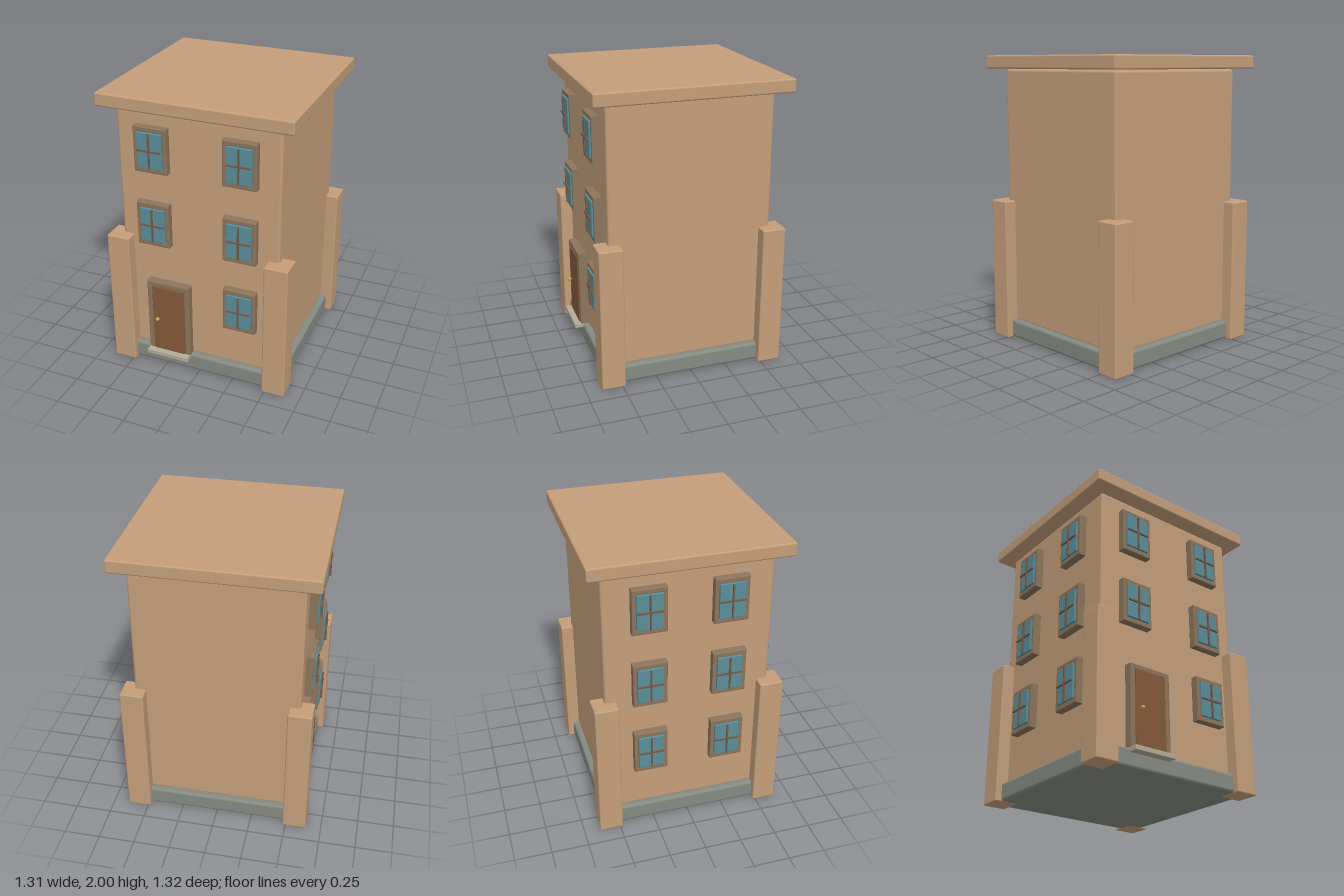
import * as THREE from 'three';
import { RoundedBoxGeometry } from 'three/addons/geometries/RoundedBoxGeometry.js';

const material = (color) => new THREE.MeshStandardMaterial({ color });

export function createModel() {
  const model = new THREE.Group();
  model.name = 'townHouse';

  const wall = material(0xc49e7a);
  const stone = material(0x858a82);
  const trim = material(0x8c755c);
  const glass = material(0x5a8e9a);
  const wood = material(0x825a3a);
  const bar = material(0x7a5a44);
  const stepStone = material(0xb4ab98);
  const brass = material(0xc9a04e);

  const add = (parent, name, geometry, mat, x = 0, y = 0, z = 0) => {
    const mesh = new THREE.Mesh(geometry, mat);
    mesh.name = name;
    mesh.position.set(x, y, z);
    parent.add(mesh);
    return mesh;
  };
  const block = (w, h, d, r) => new RoundedBoxGeometry(w, h, d, 2, r);

  // Outline of a rectangle, used for trims and their openings
  const rectangle = (target, x0, y0, x1, y1) => {
    target.moveTo(x0, y0).lineTo(x1, y0).lineTo(x1, y1).lineTo(x0, y1).closePath();
    return target;
  };
  const extrudeTrim = (shape, depth) => {
    const b = 0.006;
    return new THREE.ExtrudeGeometry(shape, {
      depth: depth - 2 * b, bevelEnabled: true, bevelThickness: b,
      bevelSize: b, bevelOffset: -b, bevelSegments: 2,
    }).translate(0, 0, b);
  };

  // Main masses
  add(model, 'base', block(1.2, 0.125, 1.2, 0.02), stone, 0, 0.0675);
  add(model, 'walls', block(1.115, 1.785, 1.115, 0.018), wall, 0, 1.0125);
  add(model, 'roofSlab', block(1.31, 0.09, 1.31, 0.012), wall, 0, 1.955);

  // Corner piers
  const pierGeometry = block(0.162, 0.99, 0.162, 0.01);
  for (const sx of [-1, 1]) {
    for (const sz of [-1, 1]) {
      add(model, 'cornerPier', pierGeometry, wall, sx * 0.561, 0.495, sz * 0.561);
    }
  }

  // Windows, built facing +z with the wall plane at z = 0
  const windowOutline = rectangle(new THREE.Shape(), -0.114, -0.155, 0.114, 0.155);
  windowOutline.holes.push(rectangle(new THREE.Path(), -0.086, -0.121, 0.086, 0.121));
  const windowTrim = extrudeTrim(windowOutline, 0.055);
  const paneGeometry = block(0.172, 0.242, 0.06, 0.004);
  const uprightGeometry = new THREE.BoxGeometry(0.01, 0.236, 0.02);
  const crossGeometry = new THREE.BoxGeometry(0.166, 0.01, 0.018);

  const addWindow = (x, y, z, turn) => {
    const unit = new THREE.Group();
    unit.name = 'window';
    add(unit, 'windowTrim', windowTrim, trim);
    add(unit, 'windowGlass', paneGeometry, glass, 0, 0, 0.035);
    add(unit, 'uprightBar', uprightGeometry, bar, 0, 0, 0.067);
    add(unit, 'crossBar', crossGeometry, bar, 0, 0, 0.067);
    unit.position.set(x, y, z);
    unit.rotation.y = turn;
    model.add(unit);
  };

  const rows = [0.585, 1.115, 1.645];
  rows.forEach((y, i) => {
    if (i > 0) addWindow(-0.305, y, 0.555, 0);
    addWindow(0.3, y, 0.555, 0);
    for (const z of [-0.265, 0.265]) addWindow(-0.555, y, z, -Math.PI / 2);
  });

  // Doorway: trim open at the bottom, door leaf, knob and step
  const doorway = new THREE.Group();
  doorway.name = 'doorway';
  doorway.position.set(-0.215, 0.13, 0.555);
  const doorOutline = new THREE.Shape([
    [-0.155, 0], [-0.118, 0], [-0.118, 0.512], [0.118, 0.512],
    [0.118, 0], [0.155, 0], [0.155, 0.548], [-0.155, 0.548],
  ].map(([x, y]) => new THREE.Vector2(x, y)));
  add(doorway, 'doorTrim', extrudeTrim(doorOutline, 0.06), trim);
  add(doorway, 'door', block(0.235, 0.512, 0.06, 0.006), wood, 0, 0.256, 0.035);
  add(doorway, 'doorKnob', new THREE.SphereGeometry(0.014, 16, 12), brass, -0.077, 0.26, 0.081);
  add(doorway, 'doorStep', block(0.31, 0.032, 0.1, 0.004), stepStone, 0, -0.014, 0.055);
  model.add(doorway);

  return model;
}
